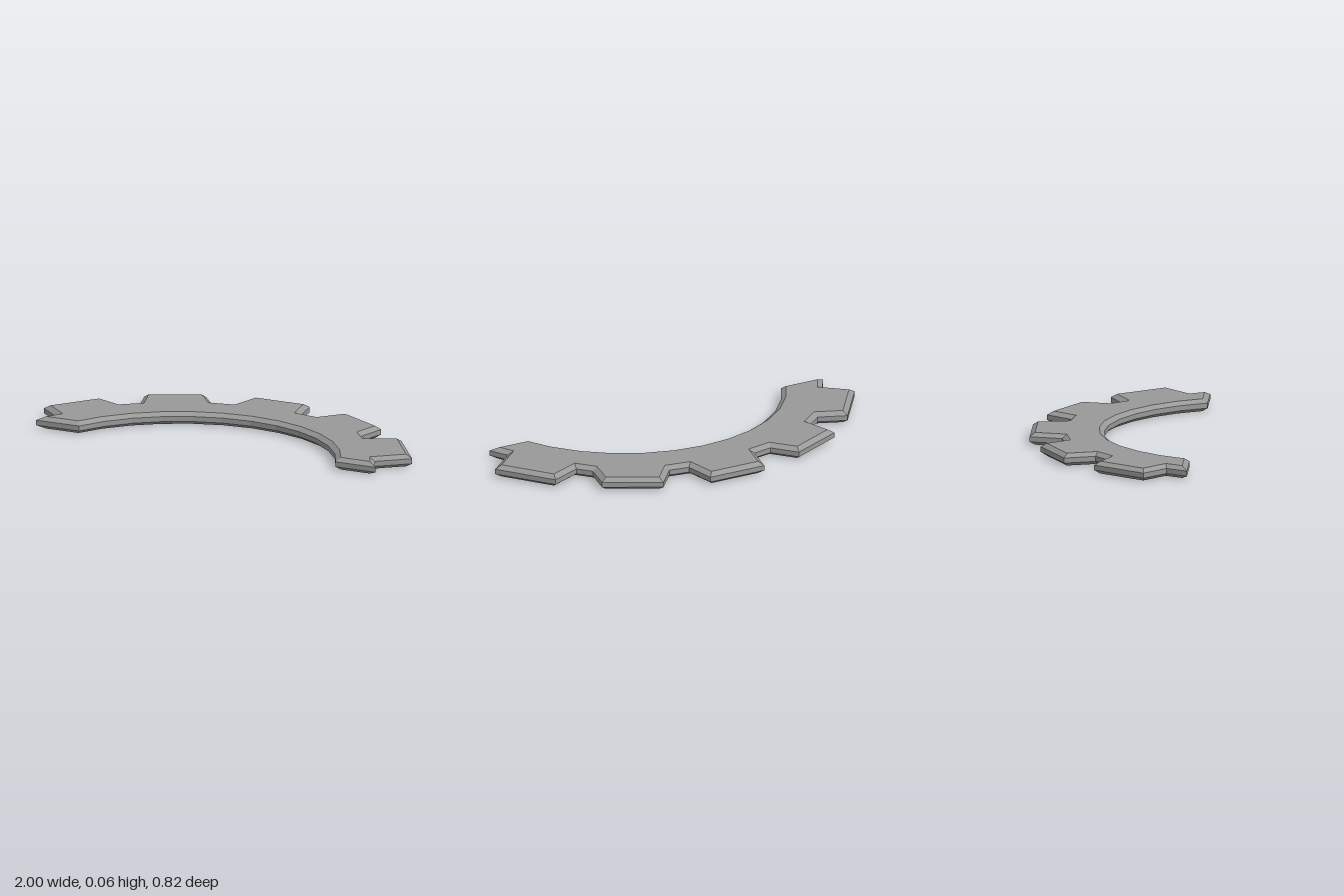
import * as THREE from 'three';

const BEVEL = 0.025;

// Toothed outer edge as [x, z], from the right-hand end round to the other
const OUTER = [
  [0.91, 0.408], [0.86, 0.315],
  [1.0, 0.19], [0.81, -0.07],
  [0.655, 0.0], [0.60, -0.065],
  [0.63, -0.21], [0.37, -0.355],
  [0.27, -0.235], [0.17, -0.25],
  [0.14, -0.41], [-0.16, -0.41],
  [-0.195, -0.25], [-0.295, -0.23],
  [-0.39, -0.345], [-0.66, -0.215],
  [-0.61, -0.065], [-0.685, -0.005],
  [-0.82, -0.06], [-1.0, 0.19],
  [-0.88, 0.295], [-0.94, 0.397],
];

// Smooth inner edge: a faceted arc
function innerArc(segments) {
  const cx = -0.008, cz = 0.708, r = 0.764;
  return Array.from({ length: segments + 1 }, (_, i) => {
    const a = THREE.MathUtils.degToRad(THREE.MathUtils.lerp(-66, 66.8, i / segments));
    return [cx + r * Math.sin(a), cz - r * Math.cos(a)];
  });
}

// Moves every edge of a counter-clockwise outline inwards by w, with mitred corners
function inset(points, w) {
  const count = points.length;
  const normals = points.map((p, i) => {
    const d = points[(i + 1) % count].clone().sub(p).normalize();
    return new THREE.Vector2(-d.y, d.x);
  });
  return points.map((p, i) => {
    const a = normals[(i + count - 1) % count], b = normals[i];
    return a.clone().add(b).multiplyScalar(w / (1 + a.dot(b))).add(p);
  });
}

export function createModel() {
  const group = new THREE.Group();
  group.name = 'gearSegment';

  const outline = [...innerArc(12), ...OUTER].map(([x, z]) => new THREE.Vector2(x, -z));
  const narrow = inset(outline, BEVEL);
  const count = outline.length;

  // Four stacked rings: chamfer, straight rim, chamfer
  const rings = [[narrow, 0], [outline, 0.018], [outline, 0.043], [narrow, 0.061]];
  const positions = rings.flatMap(([ring, y]) => ring.flatMap((p) => [p.x, y, -p.y]));
  const index = [];
  for (let r = 0; r < rings.length - 1; r++) {
    for (let i = 0; i < count; i++) {
      const a = r * count + i, b = r * count + ((i + 1) % count);
      index.push(a, b, b + count, a, b + count, a + count);
    }
  }

  // Flat top and underside
  const top = (rings.length - 1) * count;
  for (const [a, b, c] of THREE.ShapeUtils.triangulateShape(narrow, [])) {
    index.push(top + a, top + b, top + c, a, c, b);
  }

  const indexed = new THREE.BufferGeometry();
  indexed.setAttribute('position', new THREE.Float32BufferAttribute(positions, 3));
  indexed.setIndex(index);
  const geometry = indexed.toNonIndexed();
  geometry.computeVertexNormals();

  const plate = new THREE.Mesh(
    geometry,
    new THREE.MeshStandardMaterial({ color: 0x999999, flatShading: true })
  );
  plate.name = 'toothedArc';
  group.add(plate);
  return group;
}
